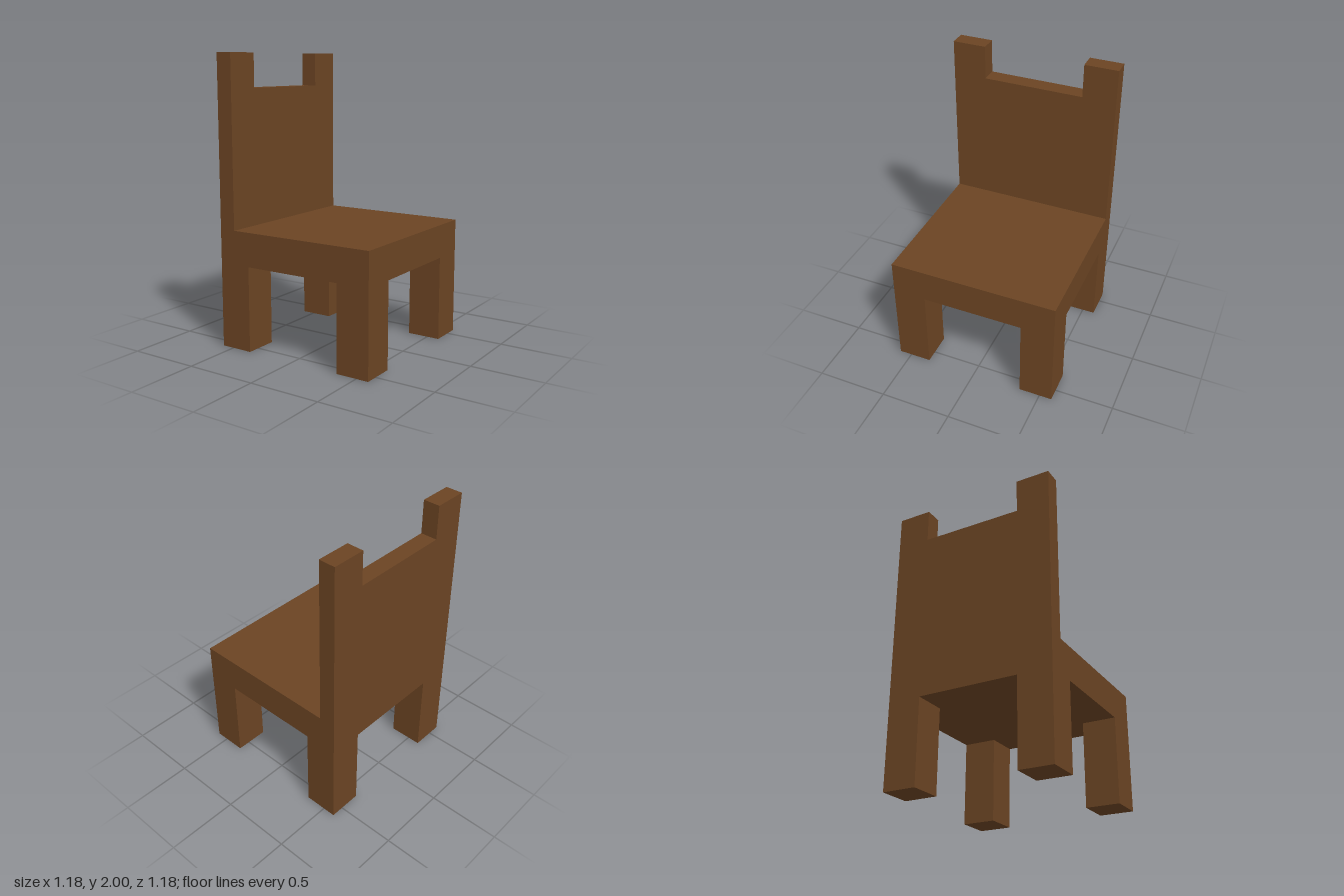
import * as THREE from 'three';

export function createModel() {
  const model = new THREE.Group();
  model.name = 'chair';
  const wood = new THREE.MeshStandardMaterial({ color: 0x6b4423 });
  wood.name = 'brown wood';

  const half = 0.588;      // half the seat's width and depth
  const legSize = 0.235;
  const seatBottom = 0.59;
  const seatTop = 0.824;

  const add = (name, geometry, x, y, z) => {
    const mesh = new THREE.Mesh(geometry, wood);
    mesh.name = name;
    mesh.position.set(x, y, z);
    model.add(mesh);
  };

  // Seat slab
  add('seat', new THREE.BoxGeometry(half * 2, seatTop - seatBottom, half * 2), 0, (seatTop + seatBottom) / 2, 0);

  // Four square legs, flush with the seat corners
  const legGeometry = new THREE.BoxGeometry(legSize, seatBottom, legSize);
  const offset = half - legSize / 2;
  for (const [sx, xName] of [[1, 'left'], [-1, 'right']]) {
    for (const [sz, zName] of [[1, 'Front'], [-1, 'Back']]) {
      add(`${xName}${zName}Leg`, legGeometry, sx * offset, seatBottom / 2, sz * offset);
    }
  }

  // Backrest along the -x edge, notched between two raised posts
  const inner = half - legSize;
  const notch = 1.765;
  const outline = new THREE.Shape([
    [-half, seatTop], [half, seatTop], [half, 2], [inner, 2],
    [inner, notch], [-inner, notch], [-inner, 2], [-half, 2],
  ].map(([x, y]) => new THREE.Vector2(x, y)));
  const back = new THREE.ExtrudeGeometry(outline, { depth: 0.117, bevelEnabled: false });
  back.rotateY(Math.PI / 2);
  add('backrest', back, -half, 0, 0);

  return model;
}
